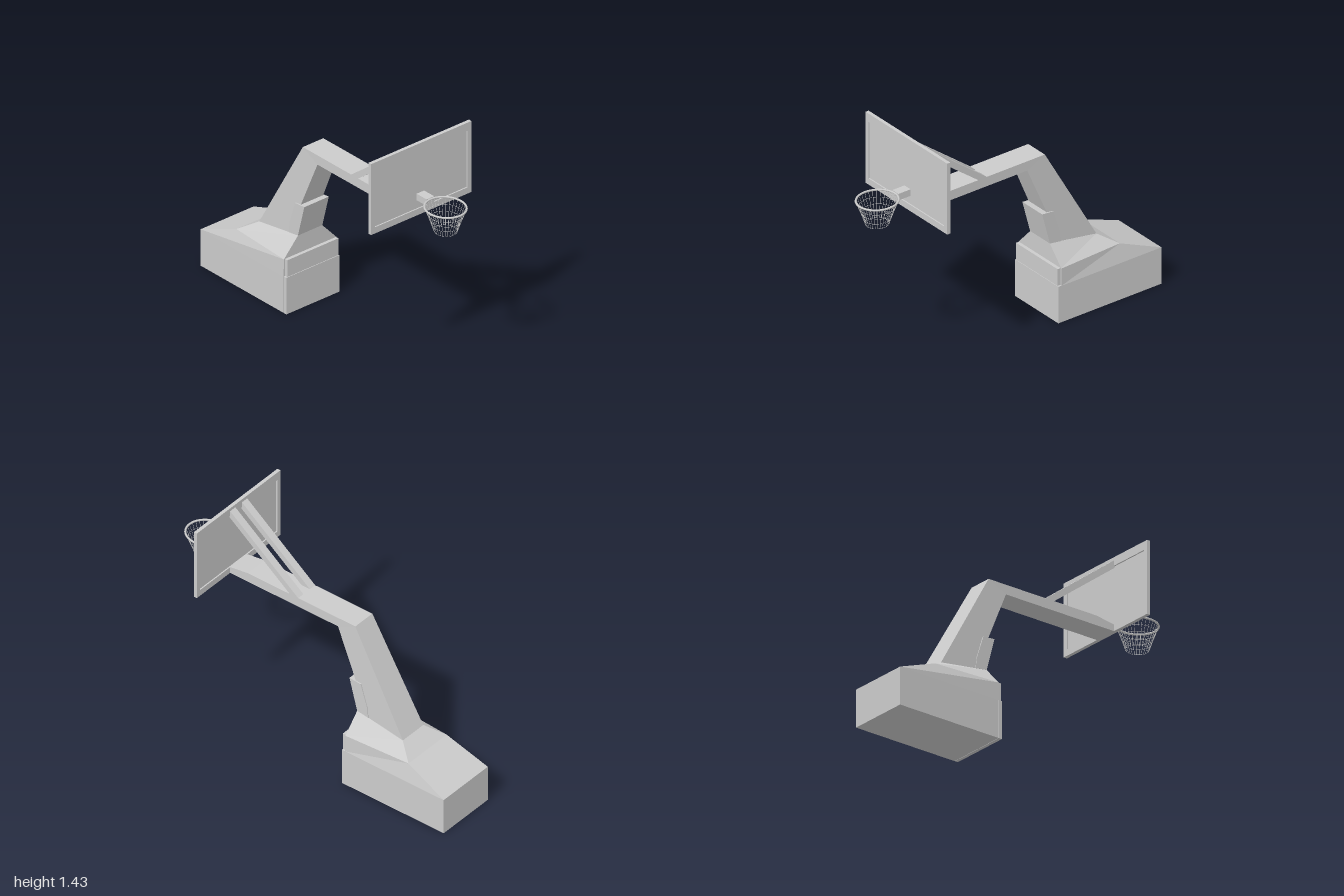
import * as THREE from 'three';

const material = new THREE.MeshStandardMaterial({ color: 0xcccccc, flatShading: true, side: THREE.DoubleSide });
const smooth = new THREE.MeshStandardMaterial({ color: 0xcccccc });

// Closed four-sided loft; each section is [front half width, z, y, back half width, z, y]
function loft(sections) {
  const rings = sections.map(([fw, fz, fy, bw, bz, by]) =>
    [[-fw, fy, fz], [fw, fy, fz], [bw, by, bz], [-bw, by, bz]]);
  const pos = [];
  const quad = (a, b, c, d) => pos.push(...a, ...b, ...c, ...a, ...c, ...d);
  for (let i = 0; i < rings.length - 1; i++) {
    const a = rings[i], b = rings[i + 1];
    for (let k = 0; k < 4; k++) {
      const n = (k + 1) % 4;
      quad(a[k], a[n], b[n], b[k]);
    }
  }
  quad(...rings[0].slice().reverse());
  quad(...rings[rings.length - 1]);
  const geo = new THREE.BufferGeometry();
  geo.setAttribute('position', new THREE.Float32BufferAttribute(pos, 3));
  geo.computeVertexNormals();
  return geo;
}

// Side profile of [z, y] points given a width along x
function prism(points, width, cx = 0) {
  const shape = new THREE.Shape(points.map(([z, y]) => new THREE.Vector2(z, y)));
  const geo = new THREE.ExtrudeGeometry(shape, { depth: width, bevelEnabled: false });
  return geo.rotateY(-Math.PI / 2).translate(cx + width / 2, 0, 0);
}

function box(x0, x1, y0, y1, z0, z1) {
  return new THREE.BoxGeometry(x1 - x0, y1 - y0, z1 - z0)
    .translate((x0 + x1) / 2, (y0 + y1) / 2, (z0 + z1) / 2);
}

function rectangle(Type, x, y0, y1) {
  return new Type([[-x, y0], [x, y0], [x, y1], [-x, y1]].map(p => new THREE.Vector2(...p)));
}

export function createModel() {
  const model = new THREE.Group();
  model.name = 'basketballHoop';
  const add = (name, geo, parent = model, mat = material) => {
    const mesh = new THREE.Mesh(geo, mat);
    mesh.name = name;
    parent.add(mesh);
    return mesh;
  };

  // Weighted base with sloping rear and tapered shoulders
  add('base', loft([
    [0.197, -0.29, 0, 0.197, -1, 0],
    [0.197, -0.29, 0.235, 0.197, -1, 0.235],
    [0.195, -0.29, 0.345, 0.17, -0.725, 0.345],
    [0.09, -0.29, 0.46, 0.092, -0.62, 0.41],
  ]));
  add('lowerFrontPad', box(-0.197, 0.197, 0, 0.236, -0.288, -0.267));
  add('upperFrontPad', box(-0.19, 0.19, 0.239, 0.347, -0.288, -0.267));

  // Leaning mast that bends into the horizontal beam
  add('arm', loft([
    [0.088, -0.365, 0.449, 0.091, -0.62, 0.41],
    [0.076, -0.14, 0.977, 0.076, -0.265, 1.037],
    [0.076, 0.51, 0.977, 0.076, 0.51, 1.037],
    [0.076, 0.642, 0.977, 0.076, 0.642, 1.018],
  ]));
  add('armPad', prism([[-0.29, 0.46], [-0.258, 0.58], [-0.235, 0.667], [-0.315, 0.66],
    [-0.36, 0.52], [-0.37, 0.448]], 0.182));

  // Twin diagonal braces behind the backboard
  for (const side of [-1, 1]) {
    add(side > 0 ? 'leftBrace' : 'rightBrace',
      prism([[0.145, 1.035], [0.205, 1.035], [0.642, 1.37], [0.642, 1.418]], 0.047, side * 0.0525));
  }

  // Backboard: raised frame around a recessed panel
  const board = new THREE.Group();
  board.name = 'backboard';
  model.add(board);
  const frame = rectangle(THREE.Shape, 0.373, 0.977, 1.435);
  frame.holes.push(rectangle(THREE.Path, 0.345, 1.017, 1.382));
  add('backboardFrame', new THREE.ExtrudeGeometry(frame, { depth: 0.022, bevelEnabled: false })
    .translate(0, 0, 0.638), board);
  add('backboardPanel', box(-0.345, 0.345, 1.017, 1.382, 0.646, 0.652), board);

  // Rim and its bracket
  add('rimBracket', box(-0.028, 0.028, 1.07, 1.112, 0.652, 0.738));
  const hoop = new THREE.Group();
  hoop.name = 'hoop';
  hoop.position.z = 0.867;
  hoop.scale.z = 1.1;
  model.add(hoop);
  add('rim', new THREE.TorusGeometry(0.114, 0.006, 8, 40).rotateX(Math.PI / 2)
    .translate(0, 1.105, 0), hoop, smooth);

  // Net of vertical strands and horizontal rings
  const net = new THREE.Group();
  net.name = 'net';
  hoop.add(net);
  const levels = [[0.112, 1.1], [0.1, 1.066], [0.087, 1.03], [0.075, 0.993], [0.063, 0.955]];
  const strand = new THREE.TubeGeometry(
    new THREE.CatmullRomCurve3(levels.map(([r, y]) => new THREE.Vector3(r, y, 0))), 8, 0.0011, 4);
  const strands = 32;
  for (let i = 0; i < strands; i++) {
    add('netStrand', strand, net, smooth).rotation.y = i / strands * Math.PI * 2;
  }
  for (const [r, y] of levels.slice(1)) {
    add('netRing', new THREE.TorusGeometry(r, 0.0011, 4, 32).rotateX(Math.PI / 2)
      .translate(0, y, 0), net, smooth);
  }
  return model;
}
